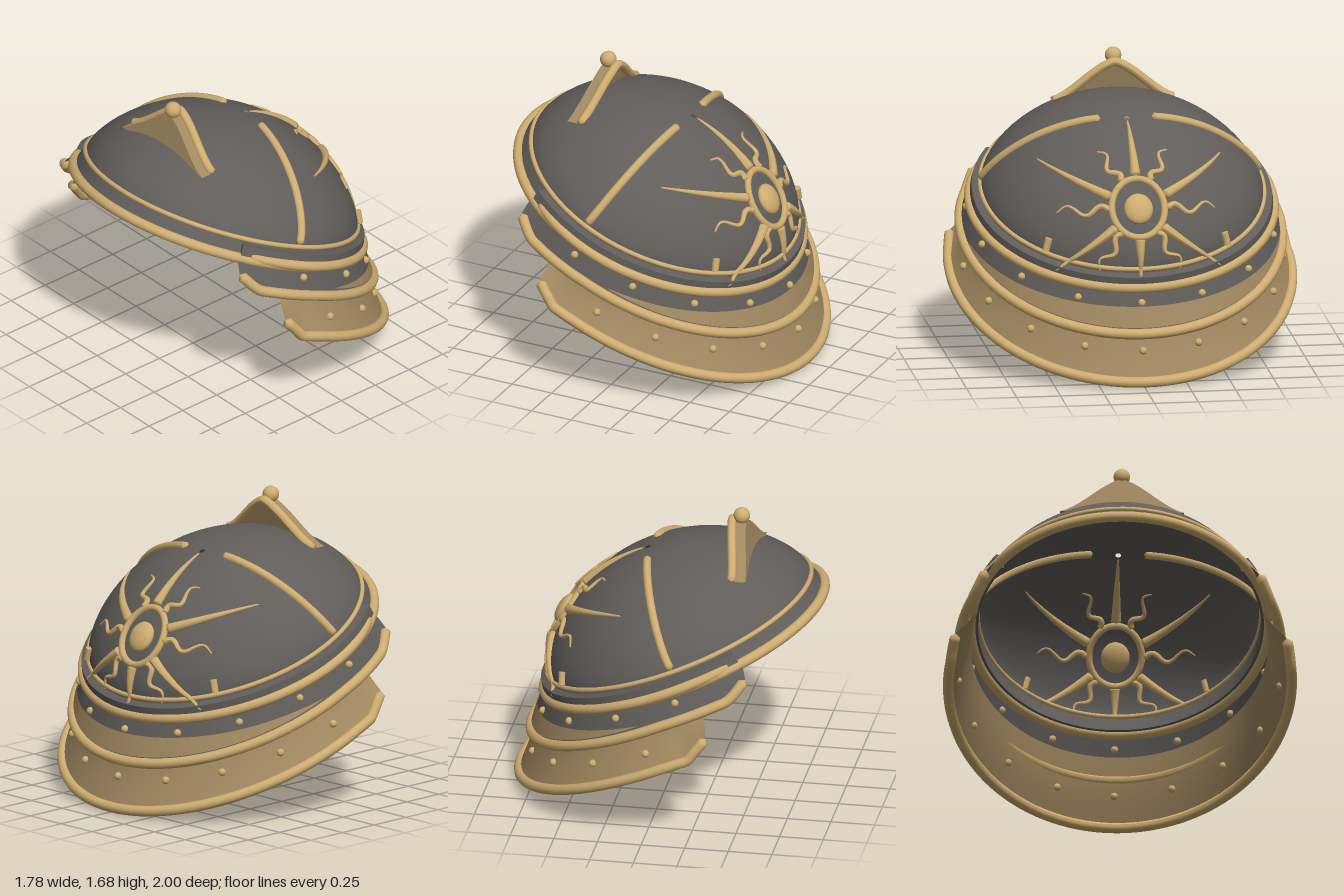
import * as THREE from 'three';

const TILT = 0.384, C = Math.cos(TILT), S = Math.sin(TILT);
const CX = -0.04, CY = 0.95;      // centre of the dome base
const R = 0.8, H = 0.478;         // dome radius and height
const V = (x, y, z) => new THREE.Vector3(x, y, z);
const domeHeight = r => H * Math.pow(Math.max(0, 1 - (r * r) / (R * R)), 0.71);

const mat = (name, color) => {
  const m = new THREE.MeshStandardMaterial({ color, side: THREE.DoubleSide });
  m.name = name;
  return m;
};

export function createModel() {
  const steel = mat('dark steel', 0x605d5a);
  const gold = mat('bright gold', 0xcdac70);
  const bronze = mat('dull gold', 0xa28961);

  const root = new THREE.Group();
  root.name = 'helmet';
  const shell = new THREE.Group();  // everything that follows the tilted base plane
  shell.name = 'tiltedShell';
  shell.rotation.z = -TILT;
  shell.position.set(CX, CY, 0);
  root.add(shell);

  const add = (parent, name, geo, material) => {
    const m = new THREE.Mesh(geo, material);
    m.name = name;
    parent.add(m);
    return m;
  };

  // Tube with a taper and closed ends
  const tube = (pts, r0, r1 = r0, seg = 60, sides = 12) => {
    const path = new THREE.CatmullRomCurve3(pts);
    const geo = new THREE.TubeGeometry(path, seg, 1, sides);
    const pos = geo.attributes.position, p = V(0, 0, 0);
    for (let i = 0; i <= seg; i++) {
      const c = path.getPointAt(i / seg);
      const r = i === 0 || i === seg ? 0 : r0 + (r1 - r0) * i / seg;
      for (let j = 0; j <= sides; j++) {
        const k = i * (sides + 1) + j;
        p.fromBufferAttribute(pos, k).sub(c).multiplyScalar(r).add(c);
        pos.setXYZ(k, p.x, p.y, p.z);
      }
    }
    geo.computeVertexNormals();
    return geo;
  };

  // Sheet whose points come from f(s, t), both 0..1
  const sheet = (f, nu = 96, nv = 8) => {
    const geo = new THREE.PlaneGeometry(1, 1, nu, nv);
    const pos = geo.attributes.position, uv = geo.attributes.uv;
    for (let i = 0; i < pos.count; i++) {
      const p = f(uv.getX(i), uv.getY(i));
      pos.setXYZ(i, p.x, p.y, p.z);
    }
    geo.computeVertexNormals();
    return geo;
  };

  // Dome (with a pinhole at its pole), skirt and the two full rims
  const profile = Array.from({ length: 37 }, (_, i) => {
    const r = Math.max(0.016, R * Math.cos(i / 36 * Math.PI / 2));
    return new THREE.Vector2(r, domeHeight(r));
  });
  add(shell, 'dome', new THREE.LatheGeometry(profile, 80), steel);
  add(shell, 'skirt', new THREE.LatheGeometry([new THREE.Vector2(0.84, -0.1), new THREE.Vector2(0.8, 0)], 72), steel);
  const ringAt = (name, r, t, y) =>
    add(shell, name, new THREE.TorusGeometry(r, t, 12, 96).rotateX(Math.PI / 2), gold).position.y = y;
  ringAt('domeRim', 0.803, 0.014, 0);
  ringAt('browRim', 0.843, 0.03, -0.104);

  // Upper collar: solid steel band with a gold lower trim
  const arc = (end, f, n = 48) => Array.from({ length: n + 1 }, (_, i) => f(end * (2 * i / n - 1)));
  const END1 = 2.15, LOW = -0.112;
  const section = [[0.8, -0.02], [0.85, -0.026], [0.868, LOW], [0.8, LOW], [0.8, -0.02]];
  section.slice(1).forEach(([r, y], i) => {
    const [r0, y0] = section[i];
    add(shell, 'upperCollar', sheet((s, t) => {
      const a = END1 * (2 * s - 1), q = r0 + (r - r0) * t;
      return V(q * Math.cos(a), y0 + (y - y0) * t, q * Math.sin(a));
    }, 96, 1), steel);
  });
  for (const side of [-1, 1]) add(shell, 'upperCollarEnd', sheet((s, t) => {
    const a = END1 * side, r = 0.8 + s * (0.05 + 0.018 * (1 - t));
    return V(r * Math.cos(a), LOW + 0.086 * t, r * Math.sin(a));
  }, 1, 1), steel);
  // the trim sinks into the band toward its ends
  const sink = a => 0.025 * Math.pow(Math.abs(a) / 2.1, 8);
  add(shell, 'upperCollarTrim', tube(arc(2.1, a =>
    V((0.856 - sink(a)) * Math.cos(a), -0.092 + 0.3 * sink(a), (0.864 - sink(a)) * Math.sin(a))), 0.029, 0.029, 160), gold);

  // Flared collars: top and bottom are ellipses, the bottom corners turn up
  const flare = ({ end, top, bottom, lift, curve }) => (a, t, out = 0) => {
    const mix = k => top[k] + (bottom[k] - top[k]) * t;
    const dip = out - curve * Math.sin(Math.PI * t);
    const back = Math.max(0, Math.cos(a));
    const up = Math.max(0, (Math.abs(a) - (end - 0.14)) / 0.14) * lift * t;
    return V(mix(0) + (mix(1) + dip) * Math.cos(a),
      mix(3) + (mix(4) - mix(3)) * back + up, (mix(2) + dip) * Math.sin(a));
  };
  // each row: [centre, radius along x, radius along z, height at sides, height at back]
  const collars = [
    { name: 'middleCollar', end: 2.135, top: [0, 0.85, 0.84, -0.08, -0.08], bottom: [0.04, 0.98, 0.91, -0.25, -0.295],
      lift: 0.07, curve: 0, over: 0.02, step: 0.419, rivetY: -0.155, material: steel },
    { name: 'lowerCollar', end: 1.84, top: [0.06, 0.87, 0.84, -0.2, -0.2], bottom: [0.1, 1.08, 0.97, -0.475, -0.515],
      lift: 0.085, curve: 0.015, over: 0.03, step: 0.367, rivetY: -0.38, material: bronze },
  ];
  for (const c of collars) {
    const f = flare(c);
    add(shell, c.name, sheet((s, t) => f(c.end * (2 * s - 1) * (1 + c.over * (1 - t)), t)), c.material);
    add(shell, c.name + 'Trim', tube(arc(c.end, a => f(a, 1), 80), 0.03, 0.03, 180), gold);
    for (let i = -4; i <= 4; i++) {
      const a = i * c.step, y0 = f(a, 0).y, t = (c.rivetY - y0) / (f(a, 1).y - y0);
      add(shell, c.name + 'Rivet', new THREE.SphereGeometry(0.022, 14, 10), gold).position.copy(f(a, t, 0.004));
    }
  }
  // Crescent panel on the middle collar
  const mid = flare(collars[0]);
  add(shell, 'crescentPanel', sheet((s, t) => {
    const a = 1.42 * (2 * s - 1), w = Math.max(0, Math.cos((2 * s - 1) * Math.PI / 2));
    return mid(a, 0.77 - 0.13 * w + (t - 0.5) * 0.44 * Math.pow(w, 0.8), 0.007);
  }), bronze);

  // Side seams running up the dome
  for (const side of [-1, 1]) {
    const pts = [];
    for (let i = 0; i <= 10; i++) {
      const z = 0.145 + 0.645 * Math.cos(i / 10 * Math.PI / 2);
      const u = -0.11 + 0.09 * i / 10;
      pts.push(V(u, domeHeight(Math.hypot(u, z)), z * side));
    }
    add(shell, 'sideSeam', tube(pts, 0.024), gold);
  }

  // Point on the back of the dome at a given height and z, found by bisection
  const onDome = (z, y, out = 0.004) => {
    const Y = y - CY;
    let lo = 0.05, hi = 1.1;
    for (let i = 0; i < 30; i++) {
      const X = (lo + hi) / 2, r = Math.hypot(C * X - S * Y, z), v = S * X + C * Y;
      const inside = v < 0 ? r < R + Math.min(0.045, -v) : v < domeHeight(r);
      if (inside) lo = X; else hi = X;
    }
    return V(CX + lo + out, y, z);
  };

  // Sun emblem
  const sun = new THREE.Group();
  sun.name = 'sunEmblem';
  root.add(sun);
  const SY = 0.978;
  const ringPts = Array.from({ length: 32 }, (_, i) => {
    const a = i / 32 * Math.PI * 2;
    return onDome(0.15 * Math.cos(a), SY + 0.15 * Math.sin(a));
  });
  add(sun, 'sunRing', new THREE.TubeGeometry(new THREE.CatmullRomCurve3(ringPts, true), 96, 0.02, 10, true), gold);
  const boss = add(sun, 'sunBoss', new THREE.SphereGeometry(1, 28, 18), gold);
  boss.scale.set(0.04, 0.09, 0.083);
  boss.rotation.z = 0.52;
  boss.position.copy(onDome(0, SY));

  const ray = (z, y, wavy) => {
    const len = Math.hypot(z, y - SY), dz = z / len, dy = (y - SY) / len, pts = [];
    for (let i = 0; i <= 16; i++) {
      const k = i / 16, d = 0.16 + (len - 0.16) * k;
      const w = wavy ? 0.024 * Math.sin(k * Math.PI * 3.2) * (z < 0 ? -1 : 1) : 0;
      pts.push(onDome(dz * d - dy * w, SY + dy * d + dz * w));
    }
    add(sun, wavy ? 'wavyRay' : 'straightRay', tube(pts, wavy ? 0.02 : 0.03, 0.005, 40, 10), gold);
  };
  ray(0, 1.385, false);
  ray(0, 0.585, false);
  for (const side of [-1, 1]) {
    ray(0.525 * side, 1.19, false);
    ray(0.5 * side, 0.61, false);
    ray(0.455 * side, 0.955, true);
    ray(0.19 * side, 1.26, true);
    ray(0.24 * side, 0.65, true);
    // Short bars beside the emblem
    add(root, 'sideBar', tube([V(0.54, 0.808, 0.5 * side), V(0.54, 0.735, 0.518 * side)], 0.021), gold);
  }

  // Front crest: leaning pediment with curved edges, edge tube and ball
  const crest = new THREE.Group();
  crest.name = 'crest';
  root.add(crest);
  const edge = k => [0.35 * (1 - k), 1.375 + 0.23 * (0.4 * k + 0.6 * k * k * (3 - 2 * k))];
  const lean = y => 0.24 * (y - 1.38);
  const shape = new THREE.Shape();
  shape.moveTo(-0.35, 1.375);
  for (let i = 1; i <= 10; i++) { const [z, y] = edge(i / 10); shape.lineTo(-z, y); }
  for (let i = 9; i >= 0; i--) { const [z, y] = edge(i / 10); shape.lineTo(z, y); }
  const plate = new THREE.ExtrudeGeometry(shape, { depth: 0.06, bevelEnabled: false }).rotateY(Math.PI / 2);
  const pp = plate.attributes.position;
  for (let i = 0; i < pp.count; i++) pp.setX(i, pp.getX(i) - 0.48 + lean(pp.getY(i)));
  plate.computeVertexNormals();
  add(crest, 'crestPlate', plate, bronze);
  const crestPts = [];
  for (let i = -10; i <= 10; i++) {
    const [z, y] = edge(1 - Math.abs(i) / 10);
    crestPts.push(V(-0.4 + lean(y), y, Math.sign(i) * z));
  }
  add(crest, 'crestTrim', tube(crestPts, 0.025, 0.025, 80), gold);
  add(crest, 'crestBall', new THREE.SphereGeometry(0.047, 24, 16), gold).position.set(-0.4, 1.63, 0);

  return root;
}
